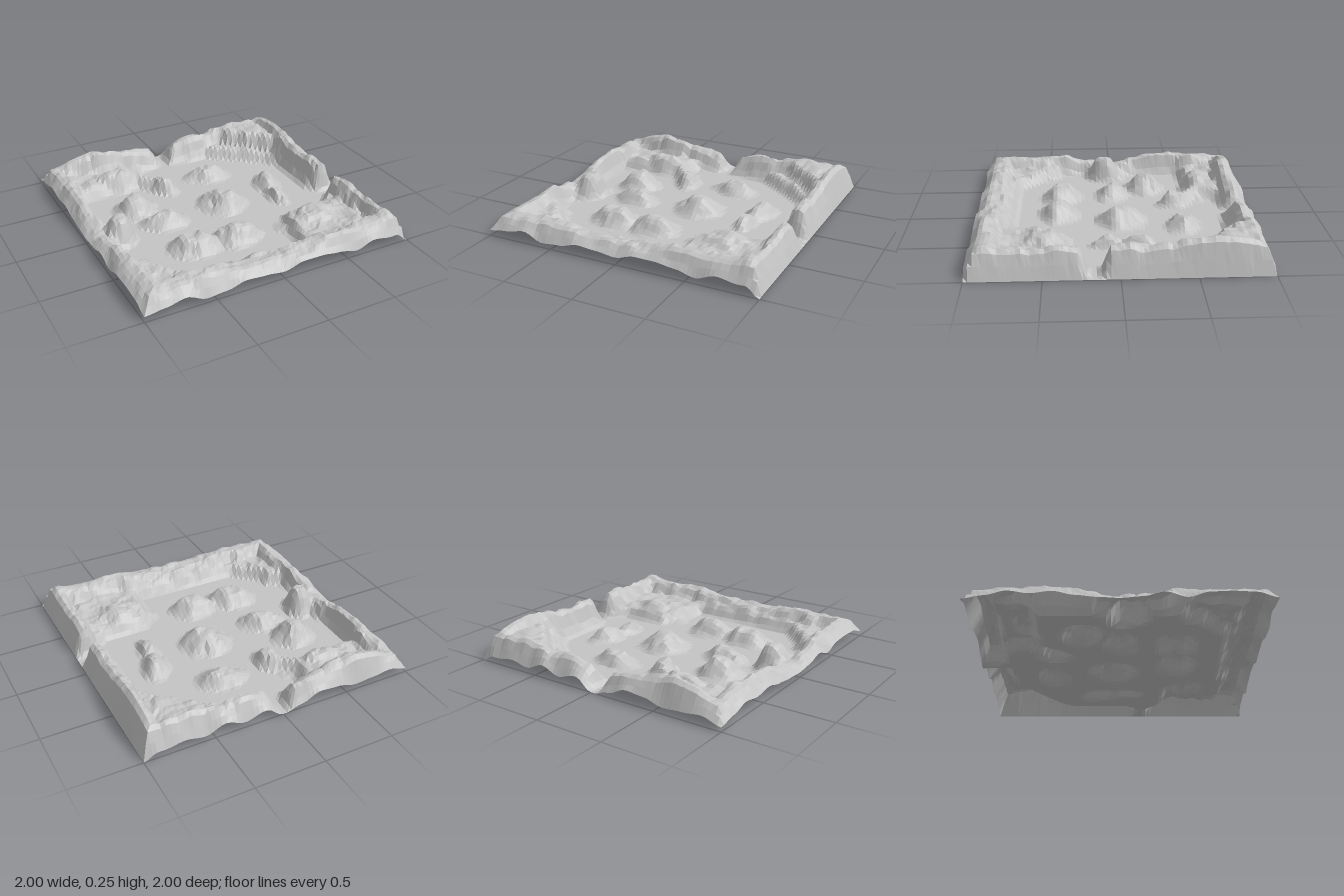
import * as THREE from 'three';

const FLOOR = 0.013;
const SEGMENTS = 66;

const smooth = (a, b, v) => THREE.MathUtils.smoothstep(v, a, b);

// Outline of the flat valley floor (x, z), with two channels leading out
const VALLEY = [
  [-0.06, -0.8], [-0.03, -0.88], [-0.03, -1.1], [0.0, -1.1], [0.0, -0.78], [0.32, -0.75], [0.5, -0.62],
  [0.7, -0.46], [0.76, -0.37], [0.76, 0.04], [0.82, 0.14], [1.1, 0.14], [1.1, 0.18], [0.85, 0.19],
  [0.72, 0.3], [0.38, 0.31], [0.3, 0.45], [0.27, 0.71], [-0.1, 0.7], [-0.52, 0.69], [-0.68, 0.52],
  [-0.7, 0.44], [-0.8, 0.38], [-0.82, 0.23], [-0.66, 0.15], [-0.74, -0.04], [-0.81, -0.2],
  [-0.81, -0.52], [-0.4, -0.55], [-0.28, -0.43], [-0.2, -0.35], [-0.1, -0.36], [-0.1, -0.5],
  [-0.26, -0.66], [-0.24, -0.76],
];

// Rim heights along each side, evenly spaced from -1 to 1
const BACK = [0.1, 0.17, 0.215, 0.19, 0.14, 0.1, 0.18, 0.16, 0.2, 0.18, 0.22];
const FRONT = [0.13, 0.15, 0.16, 0.14, 0.12, 0.13, 0.14, 0.16, 0.17, 0.18, 0.2];
const LEFT = [0.12, 0.15, 0.16, 0.17, 0.14, 0.08, 0.1, 0.15, 0.15, 0.16, 0.13];
const RIGHT = [0.18, 0.225, 0.24, 0.225, 0.19, 0.2, 0.18, 0.2, 0.175, 0.19, 0.2];

// Mounds: x, z, radius x, radius z, height, turn
const MOUNDS = [
  [0.2, -0.49, 0.2, 0.13, 0.085, 0.15],
  [-0.52, -0.26, 0.18, 0.17, 0.12, 0.3],
  [-0.4, 0.0, 0.19, 0.14, 0.09, 0.2],
  [0.1, -0.04, 0.2, 0.21, 0.11, 0.2],
  [0.55, -0.16, 0.11, 0.17, 0.1, 0.1],
  [0.51, 0.06, 0.08, 0.14, 0.07, 0],
  [-0.36, 0.4, 0.22, 0.17, 0.1, 0.2],
  [-0.03, 0.41, 0.2, 0.16, 0.1, 0],
  [-0.78, 0.06, 0.14, 0.17, 0.19, 0.3],
  [0.55, 0.52, 0.3, 0.22, 0.125, 0],
  [-0.5, -0.66, 0.3, 0.13, 0.125, 0],
  [-0.2, -0.47, 0.11, 0.16, 0.1, -0.5],
];

function sample(list, t) {
  const p = THREE.MathUtils.clamp((t + 1) / 2, 0, 1) * (list.length - 1);
  const i = Math.min(Math.floor(p), list.length - 2);
  return THREE.MathUtils.lerp(list[i], list[i + 1], p - i);
}

// Seeded value noise in the range -1 to 1
function hash(i, j) {
  const s = Math.sin(i * 127.1 + j * 311.7) * 43758.5453;
  return (s - Math.floor(s)) * 2 - 1;
}
function noise(x, z) {
  const i = Math.floor(x), j = Math.floor(z);
  const u = smooth(0, 1, x - i), v = smooth(0, 1, z - j);
  const mix = THREE.MathUtils.lerp;
  return mix(mix(hash(i, j), hash(i + 1, j), u), mix(hash(i, j + 1), hash(i + 1, j + 1), u), v);
}

// Distance outside the valley outline, zero within it
function valleyDistance(x, z) {
  let inside = false, best = 9;
  VALLEY.forEach(([ax, az], i) => {
    const [bx, bz] = VALLEY[(i + 1) % VALLEY.length];
    const dx = bx - ax, dz = bz - az;
    const t = THREE.MathUtils.clamp(((x - ax) * dx + (z - az) * dz) / (dx * dx + dz * dz), 0, 1);
    best = Math.min(best, Math.hypot(x - ax - dx * t, z - az - dz * t));
    if ((az > z) !== (bz > z) && x < ax + (dx * (z - az)) / dz) inside = !inside;
  });
  return inside ? 0 : best;
}

function moundHeight(x, z) {
  let top = 0;
  for (const [cx, cz, rx, rz, height, turn] of MOUNDS) {
    const c = Math.cos(turn), s = Math.sin(turn);
    const u = ((x - cx) * c + (z - cz) * s) / rx;
    const v = ((z - cz) * c - (x - cx) * s) / rz;
    const r = Math.hypot(u, v) + 0.1 * noise(x * 11 + 4, z * 11);
    top = Math.max(top, height * (1 - smooth(0.2, 1.05, r)));
  }
  return top;
}

function terrainHeight(x, z) {
  const d = valleyDistance(x, z);
  const wobble = 0.02 * noise(x * 9, z * 9);
  const wall = (gap) => 1 - smooth(0.12, 0.23, gap + wobble);

  // Rim walls, a filled back corner and a low bench at their foot
  const rim = Math.max(
    sample(BACK, x) * wall(1 + z),
    sample(FRONT, x) * wall((1 - z) * 0.8),
    sample(LEFT, z) * wall(1 + x),
    sample(RIGHT, z) * wall(1 - x),
    0.19 * wall((2 - x + z) * 0.7 - 0.3),
    0.085,
  );
  const rough = 0.016 * noise(x * 14, z * 14) + 0.01 * noise(x * 27, z * 27);
  const rise = smooth(0, 0.085, d);
  const mound = moundHeight(x, z);
  let h = Math.max(rise * (rim + rough), mound > 0.004 ? mound + rough * smooth(0, 0.05, mound) : 0);

  // Outer slopes fall to an uneven border, lowest on the right side
  const border = (0.06 + 0.03 * noise(x * 7 + 3, z * 7)) * (1 - smooth(0.9, 1, x)) * smooth(0, 0.12, d);
  const gap = Math.min(1 - Math.abs(x), 1 - Math.abs(z));
  h = THREE.MathUtils.lerp(Math.min(border, h + 0.02), h, smooth(-0.015, 0.085, gap));
  if (gap < 0.001) h = Math.min(border, h);
  return FLOOR + Math.max(h, d > 0 && gap < 0.03 ? -FLOOR : 0);
}

export function createModel() {
  const group = new THREE.Group();
  group.name = 'terrainTile';

  const stone = new THREE.MeshStandardMaterial({ color: 0xc4c4c4, flatShading: true, side: THREE.DoubleSide });
  stone.name = 'paleGreyStone';

  // One open sheet shaped into valley floor, mounds and surrounding rim
  const sheet = new THREE.PlaneGeometry(2, 2, SEGMENTS, SEGMENTS).rotateX(-Math.PI / 2);
  const points = sheet.attributes.position;
  for (let i = 0; i < points.count; i++) {
    points.setY(i, terrainHeight(points.getX(i), points.getZ(i)));
  }
  sheet.computeVertexNormals();
  const terrain = new THREE.Mesh(sheet, stone);
  terrain.name = 'terrain';
  group.add(terrain);
  return group;
}
